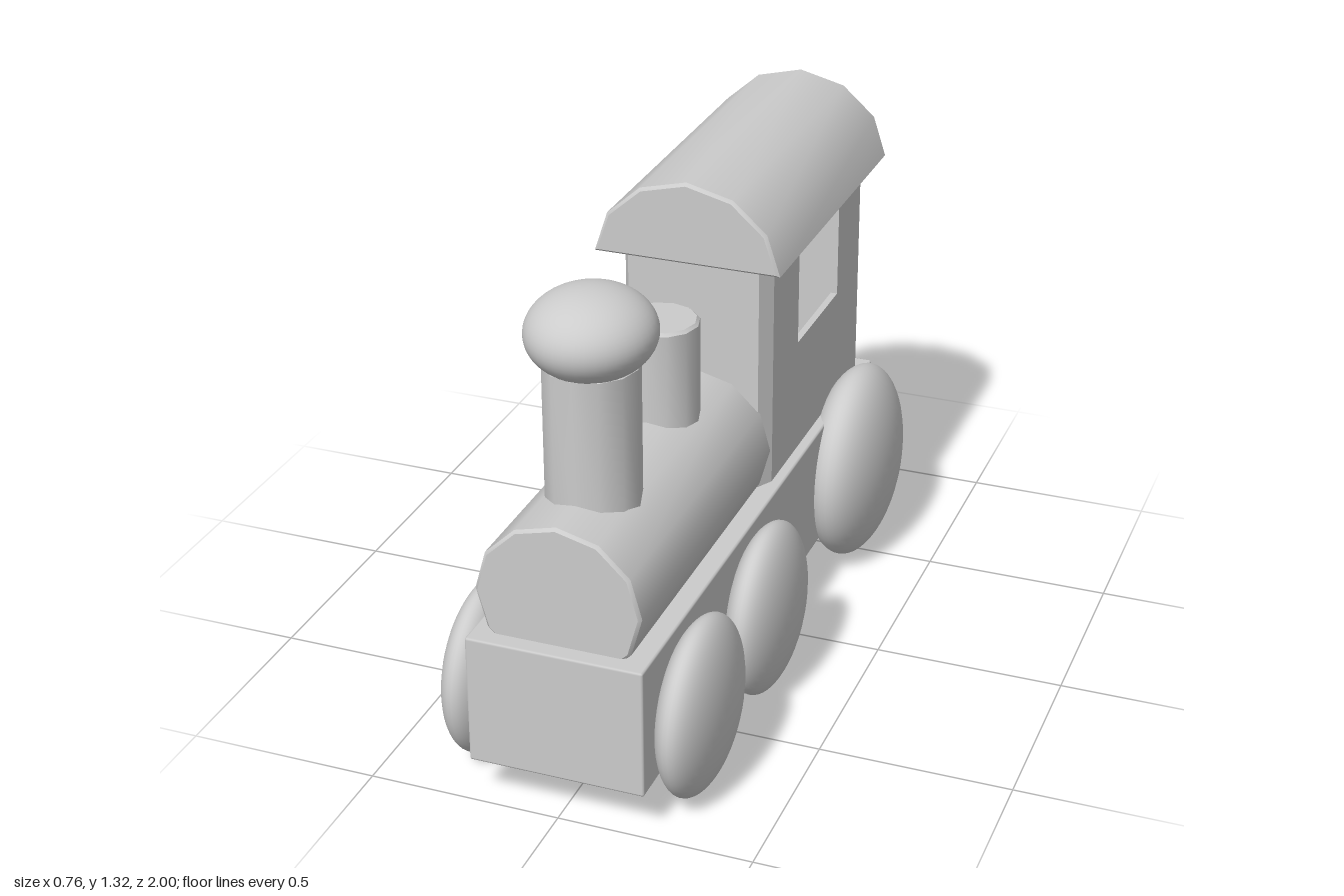
import * as THREE from 'three';
import { toCreasedNormals } from 'three/addons/utils/BufferGeometryUtils.js';
import { RoundedBoxGeometry } from 'three/addons/geometries/RoundedBoxGeometry.js';

const material = new THREE.MeshStandardMaterial({ color: 0xcccccc });
const MID = -0.007; // the body sits a touch off centre

export function createModel() {
  const model = new THREE.Group();
  model.name = 'toyLocomotive';

  const add = (name, geometry, x = 0, y = 0, z = 0) => {
    const mesh = new THREE.Mesh(geometry, material);
    mesh.name = name;
    mesh.position.set(x, y, z);
    model.add(mesh);
    return mesh;
  };

  // Box given by its extents, with optional softened edges
  const box = (name, [x0, x1], [y0, y1], [z0, z1], r = 0) => {
    const size = [x1 - x0, y1 - y0, z1 - z0];
    const geometry = r ? new RoundedBoxGeometry(...size, 1, r) : new THREE.BoxGeometry(...size);
    return add(name, geometry, (x0 + x1) / 2, (y0 + y1) / 2, (z0 + z1) / 2);
  };

  // Twelve-sided drum standing on its base, with bevelled rims
  const drum = (radius, height, b = 0.008) => {
    const profile = [[0, 0], [radius - b, 0], [radius, b], [radius, height - b], [radius - b, height], [0, height]];
    const lathe = new THREE.LatheGeometry(profile.map(p => new THREE.Vector2(...p)), 12);
    return toCreasedNormals(lathe, 0.6);
  };

  const ellipsoid = (name, rx, ry, rz, x, y, z) =>
    add(name, new THREE.SphereGeometry(1, 40, 28).scale(rx, ry, rz), x, y, z);

  const shape = points => new THREE.Shape(points.map(p => new THREE.Vector2(...p)));

  // Chassis and rear hitch
  box('chassis', [-0.23, 0.225], [0.12, 0.465], [-0.785, 1], 0.006);
  box('hitch', [-0.026, 0.045], [0.21, 0.275], [-1, -0.77]);

  // Boiler lying along z
  const boiler = add('boiler', drum(0.212, 0.912), MID, 0.578, 0.043);
  boiler.rotation.x = Math.PI / 2;
  boiler.scale.z = 0.96;

  // Chimney with its bulbous cap, and the steam dome
  add('chimney', drum(0.118, 0.4), MID, 0.71, 0.72);
  ellipsoid('chimneyCap', 0.158, 0.11, 0.168, MID, 1.18, 0.717);
  add('steamDome', drum(0.1, 0.335), MID, 0.69, 0.283);

  // Cabin ends: U-shaped footprints with chamfered corners, raised along y
  const half = 0.203, cut = 0.025, inner = half - 0.018;
  const cabinEnd = (name, outerZ, openZ, wall) => {
    const s = Math.sign(outerZ - openZ);
    const side = [[half, openZ], [half, outerZ - s * 0.045], [half - cut, outerZ]];
    const inside = [[inner - cut, outerZ - s * wall], [inner, outerZ - s * (0.045 + wall)], [inner, openZ]];
    const mirror = list => list.map(([x, z]) => [-x, z]).reverse();
    const outline = [...side, ...mirror(side), ...mirror(inside), ...inside].map(([x, z]) => [x, -z]);
    const geometry = new THREE.ExtrudeGeometry(shape(outline), { depth: 0.66, bevelEnabled: false });
    add(name, geometry.rotateX(-Math.PI / 2), MID, 0.46, 0);
  };
  cabinEnd('cabinFront', 0.055, -0.19, 0.008);
  cabinEnd('cabinBack', -0.76, -0.525, 0.018);

  // Low side walls under the window openings
  for (const [name, x0, x1] of [['leftSill', inner, half], ['rightSill', -half, -inner]])
    box(name, [x0 + MID, x1 + MID], [0.46, 0.78], [-0.525, -0.19]);

  // Arched roof, bevelled at both ends
  const b = 0.008;
  const arch = [[0.24, 1.108], [0.207, 1.205], [0.12, 1.282], [0, 1.312]];
  const roofOutline = [...arch, ...arch.slice(0, 3).reverse().map(([x, y]) => [-x, y])];
  const roof = new THREE.ExtrudeGeometry(shape(roofOutline), {
    depth: 0.905 - 2 * b, bevelThickness: b, bevelSize: b, bevelSegments: 1,
  });
  add('roof', toCreasedNormals(roof, 0.62), -0.003, 0, -0.785 + b);

  // Lens-shaped wheels, the rear pair larger
  for (const [pair, z] of [['front', 0.75], ['middle', 0.265]]) {
    ellipsoid(pair + 'LeftWheel', 0.081, 0.229, 0.229, 0.275, 0.24, z);
    ellipsoid(pair + 'RightWheel', 0.081, 0.229, 0.229, -0.284, 0.24, z);
  }
  ellipsoid('rearLeftWheel', 0.115, 0.273, 0.273, 0.261, 0.278, -0.528);
  ellipsoid('rearRightWheel', 0.096, 0.273, 0.273, -0.284, 0.278, -0.528);

  return model;
}
